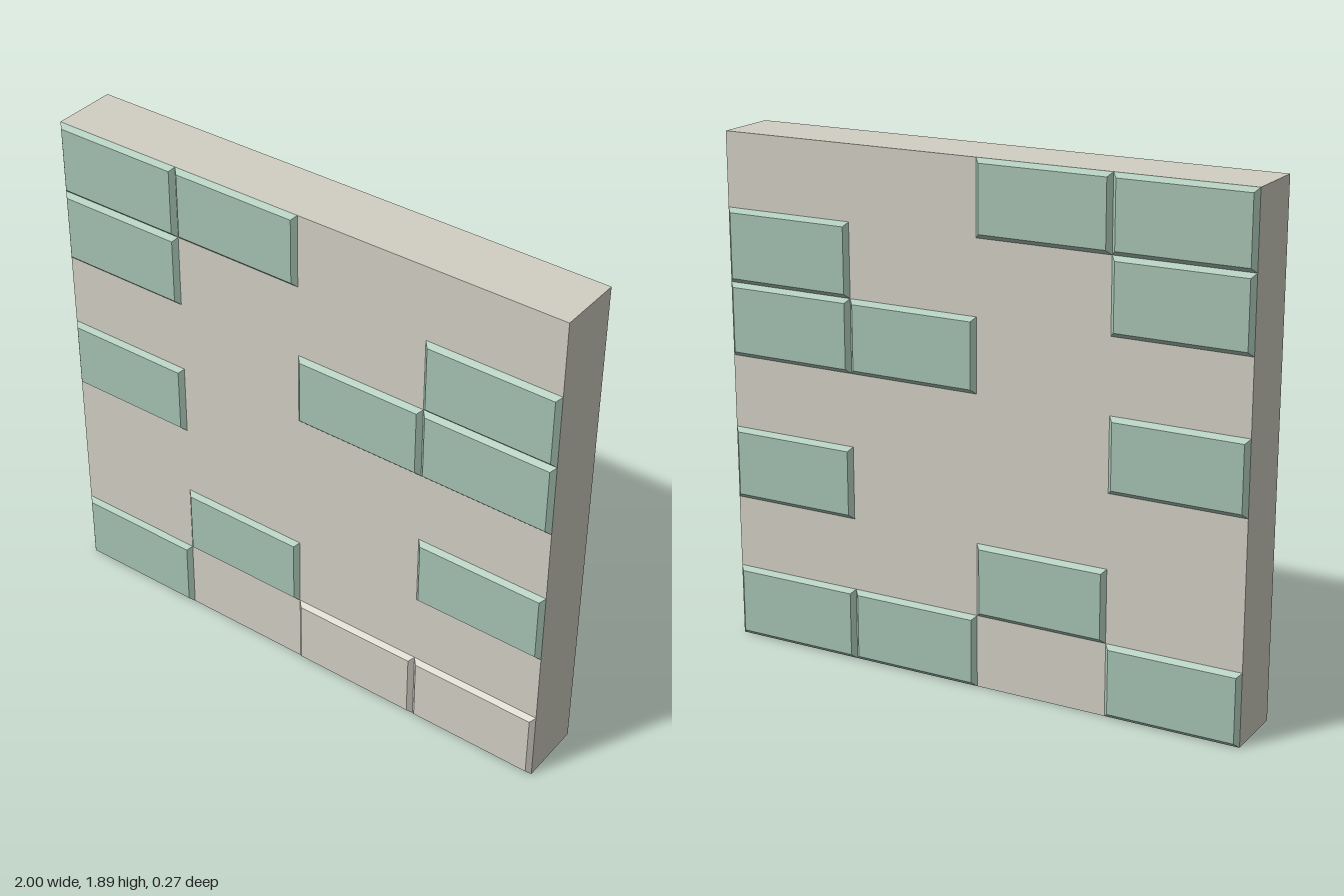
import * as THREE from 'three';

const CELL_W = 0.5, CELL_H = 0.27, COLS = 4, ROWS = 7;
const HALF_DEPTH = 0.12, RAISE = 0.016;

// Raised bricks, one row per course from the bottom up:
// '.' bare wall, 'g' green on both sides, 's' stone on the front and green on the back
const LAYOUT = ['g.ss', '.g..', '...g', 'g...', '..gg', 'g..g', 'gg..'];

// Brick face with bevelled edges, open where it meets the wall
function brickGeometry() {
  const geo = new THREE.BoxGeometry(CELL_W, CELL_H, RAISE);
  const p = geo.attributes.position;
  for (let i = 0; i < p.count; i++) {
    if (p.getZ(i) > 0) {
      p.setX(i, p.getX(i) - Math.sign(p.getX(i)) * RAISE);
      p.setY(i, p.getY(i) - Math.sign(p.getY(i)) * RAISE);
    }
  }
  geo.setIndex(Array.from(geo.index.array).slice(0, 30)); // drop the hidden back face
  geo.clearGroups();
  geo.translate(0, 0, RAISE / 2);
  geo.computeVertexNormals();
  return geo;
}

export function createModel() {
  const group = new THREE.Group();
  group.name = 'brickWall';
  const stone = new THREE.MeshStandardMaterial({ color: 0xd2cfc3 });
  const green = new THREE.MeshStandardMaterial({ color: 0xa6c3b3 });

  // Wall slab
  const height = ROWS * CELL_H;
  const wall = new THREE.Mesh(new THREE.BoxGeometry(COLS * CELL_W, height, HALF_DEPTH * 2), stone);
  wall.name = 'wallSlab';
  wall.position.y = height / 2;
  group.add(wall);

  // Raised bricks on both sides, at the same cells
  const geo = brickGeometry();
  for (const side of [1, -1]) {
    const bricks = new THREE.Group();
    bricks.name = side > 0 ? 'frontBricks' : 'backBricks';
    LAYOUT.forEach((row, r) => [...row].forEach((cell, c) => {
      if (cell === '.') return;
      const isStone = cell === 's' && side > 0;
      const brick = new THREE.Mesh(geo, isStone ? stone : green);
      brick.name = isStone ? 'stoneBrick' : 'greenBrick';
      brick.position.set((c + 0.5 - COLS / 2) * CELL_W, (r + 0.5) * CELL_H, side * HALF_DEPTH);
      if (side < 0) brick.rotation.y = Math.PI;
      bricks.add(brick);
    }));
    group.add(bricks);
  }
  return group;
}
